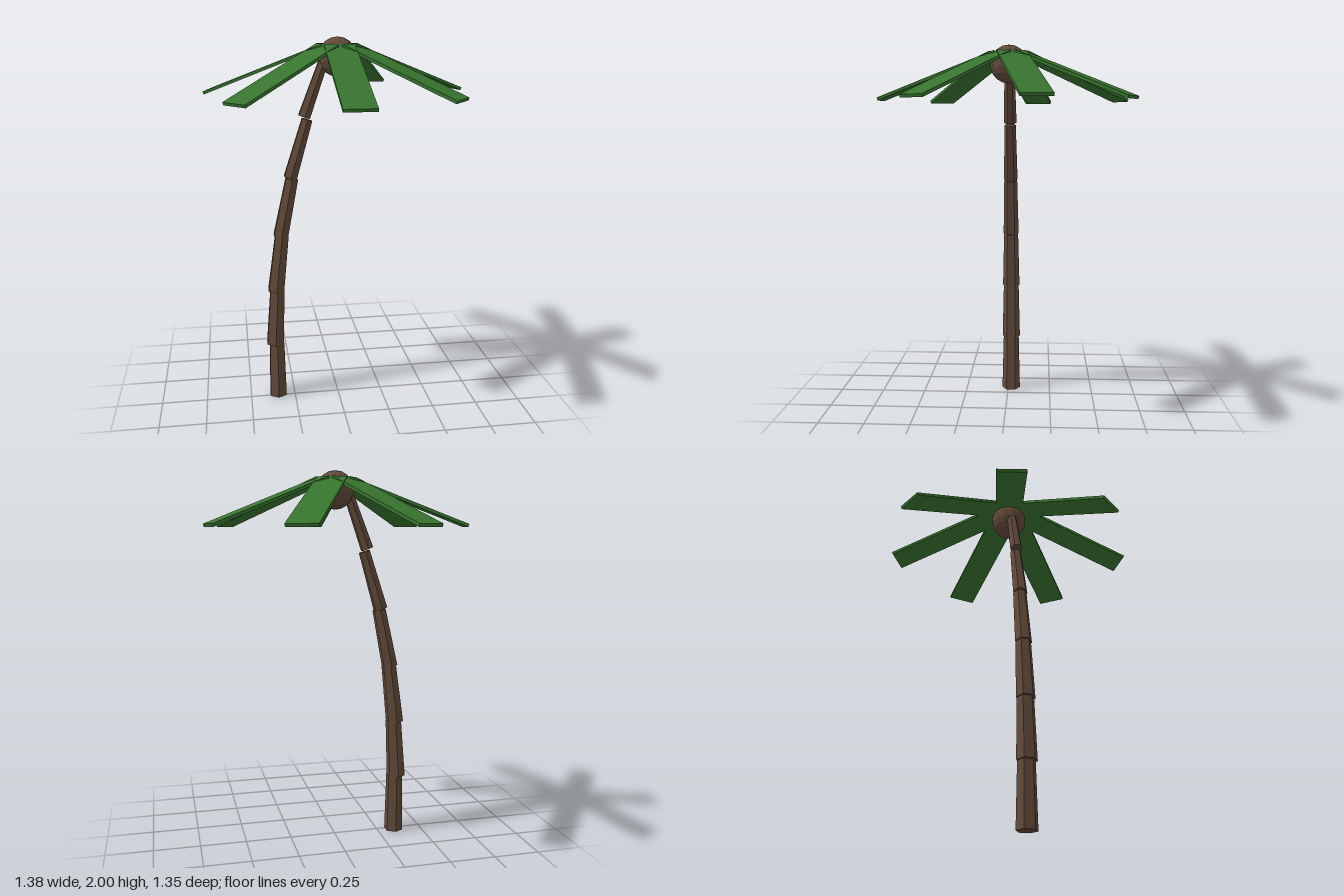
import * as THREE from 'three';

export function createModel() {
  const model = new THREE.Group();
  model.name = 'palmTree';
  const bark = new THREE.MeshStandardMaterial({ color: 0x624a3a });
  bark.name = 'bark brown';
  bark.flatShading = true;
  const green = new THREE.MeshStandardMaterial({ color: 0x38752f });
  green.name = 'leaf green';

  const tree = new THREE.Group();
  tree.name = 'tree';
  tree.position.z = -0.017;
  model.add(tree);

  // Trunk: six tapered hexagonal segments, each leaning further than the last
  // [bottom x, bottom y, top x, top y, bottom radius, top radius]
  const segments = [
    [-0.345, 0, -0.345, 0.325, 0.053, 0.045],
    [-0.355, 0.322, -0.336, 0.642, 0.052, 0.044],
    [-0.343, 0.638, -0.305, 0.955, 0.049, 0.041],
    [-0.31, 0.955, -0.245, 1.27, 0.044, 0.037],
    [-0.253, 1.274, -0.16, 1.582, 0.039, 0.031],
    [-0.175, 1.596, -0.066, 1.895, 0.035, 0.027],
  ];
  segments.forEach(([x0, y0, x1, y1, r0, r1], i) => {
    const dx = x1 - x0, dy = y1 - y0;
    const segment = new THREE.Mesh(
      new THREE.CylinderGeometry(r1, r0, Math.hypot(dx, dy), 6), bark);
    segment.name = `trunkSegment${i + 1}`;
    segment.position.set((x0 + x1) / 2, (y0 + y1) / 2, 0);
    segment.rotation.z = -Math.atan2(dx, dy);
    tree.add(segment);
  });

  // Round crown that holds the leaves
  const crown = new THREE.Mesh(new THREE.SphereGeometry(0.1, 12, 9), bark);
  crown.name = 'crown';
  crown.position.y = 1.9;
  tree.add(crown);

  // Leaves: seven flat planks sloping down around the crown
  const start = 0.081, end = 0.741, thickness = 0.016;
  const leafGeometry = new THREE.BoxGeometry(0.157, thickness, end - start);
  leafGeometry.translate(0, -thickness / 2, (start + end) / 2);
  leafGeometry.rotateX(THREE.MathUtils.degToRad(21.3));
  for (let i = 0; i < 7; i++) {
    const leaf = new THREE.Mesh(leafGeometry, green);
    leaf.name = `leaf${i + 1}`;
    leaf.position.y = 1.995;
    leaf.rotation.y = (i / 7) * Math.PI * 2;
    tree.add(leaf);
  }
  return model;
}
